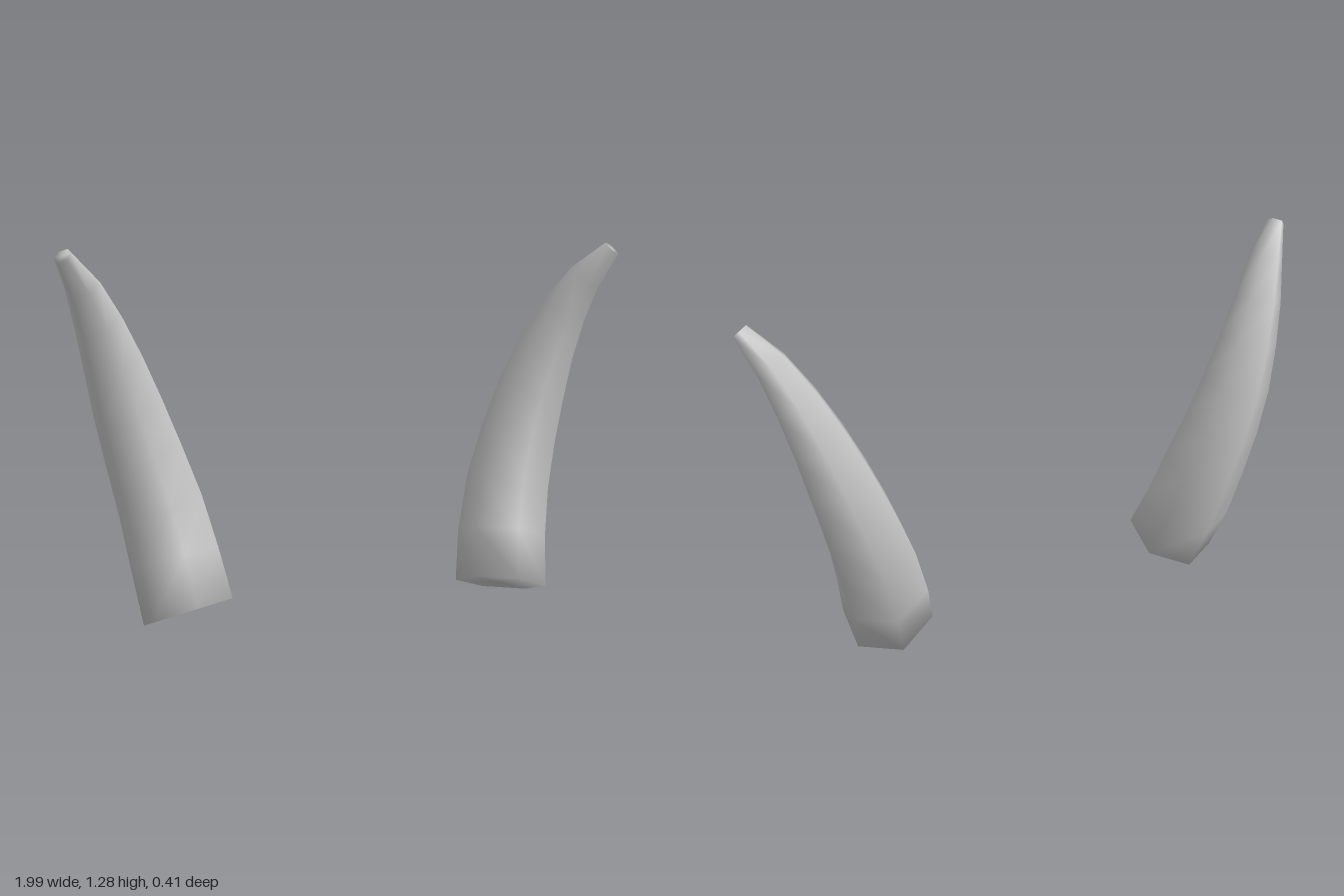
import * as THREE from 'three';

const SIDES = 6;
// Cross-sections of the left horn: centre x, y, z and radius
const RINGS = [
  [0.58, 0.057, 0.045, 0.164],
  [0.61, 0.23, -0.018, 0.16],
  [0.648, 0.41, -0.055, 0.151],
  [0.698, 0.585, -0.075, 0.138],
  [0.748, 0.75, -0.075, 0.123],
  [0.795, 0.9, -0.057, 0.104],
  [0.846, 1.04, -0.022, 0.083],
  [0.9, 1.16, 0.03, 0.06],
  [0.97, 1.264, 0.095, 0.031],
];

// Tapered hexagonal sweep, closed at both ends; side -1 mirrors it
function hornGeometry(side) {
  const centres = RINGS.map(([x, y, z]) => new THREE.Vector3(x, y, z));
  const last = centres.length - 1;
  const points = [];
  const index = [];
  const put = (p) => points.push(side * p.x, p.y, p.z);
  const tri = (a, b, c) => (side > 0 ? index.push(a, b, c) : index.push(a, c, b));

  const u = new THREE.Vector3(0, 0.33, 0.945);
  centres.forEach((c, i) => {
    // Carry the ring's reference direction along the curve without twist
    const t = i === 0
      ? new THREE.Vector3(0.2, 0.92, -0.32).normalize()
      : centres[Math.min(i + 1, last)].clone().sub(centres[i - 1]).normalize();
    u.addScaledVector(t, -u.dot(t)).normalize();
    const v = t.clone().cross(u);
    for (let j = 0; j < SIDES; j++) {
      const a = (j / SIDES) * Math.PI * 2;
      put(c.clone()
        .addScaledVector(u, RINGS[i][3] * Math.cos(a))
        .addScaledVector(v, RINGS[i][3] * Math.sin(a)));
    }
  });
  put(centres[0]);
  put(centres[last]);
  const baseCentre = (last + 1) * SIDES;

  for (let j = 0; j < SIDES; j++) {
    const k = (j + 1) % SIDES;
    for (let i = 0; i < last; i++) {
      const a = i * SIDES + j, b = i * SIDES + k;
      tri(a, b, a + SIDES);
      tri(b, b + SIDES, a + SIDES);
    }
    tri(baseCentre, k, j);
    tri(baseCentre + 1, last * SIDES + j, last * SIDES + k);
  }

  const geometry = new THREE.BufferGeometry();
  geometry.setAttribute('position', new THREE.Float32BufferAttribute(points, 3));
  geometry.setIndex(index);
  geometry.computeVertexNormals();
  return geometry;
}

export function createModel() {
  const group = new THREE.Group();
  group.name = 'hornPair';
  const material = new THREE.MeshStandardMaterial({ color: 0xc4c4c4 });
  material.name = 'hornGrey';
  for (const [name, side] of [['leftHorn', 1], ['rightHorn', -1]]) {
    const horn = new THREE.Mesh(hornGeometry(side), material);
    horn.name = name;
    group.add(horn);
  }
  return group;
}
